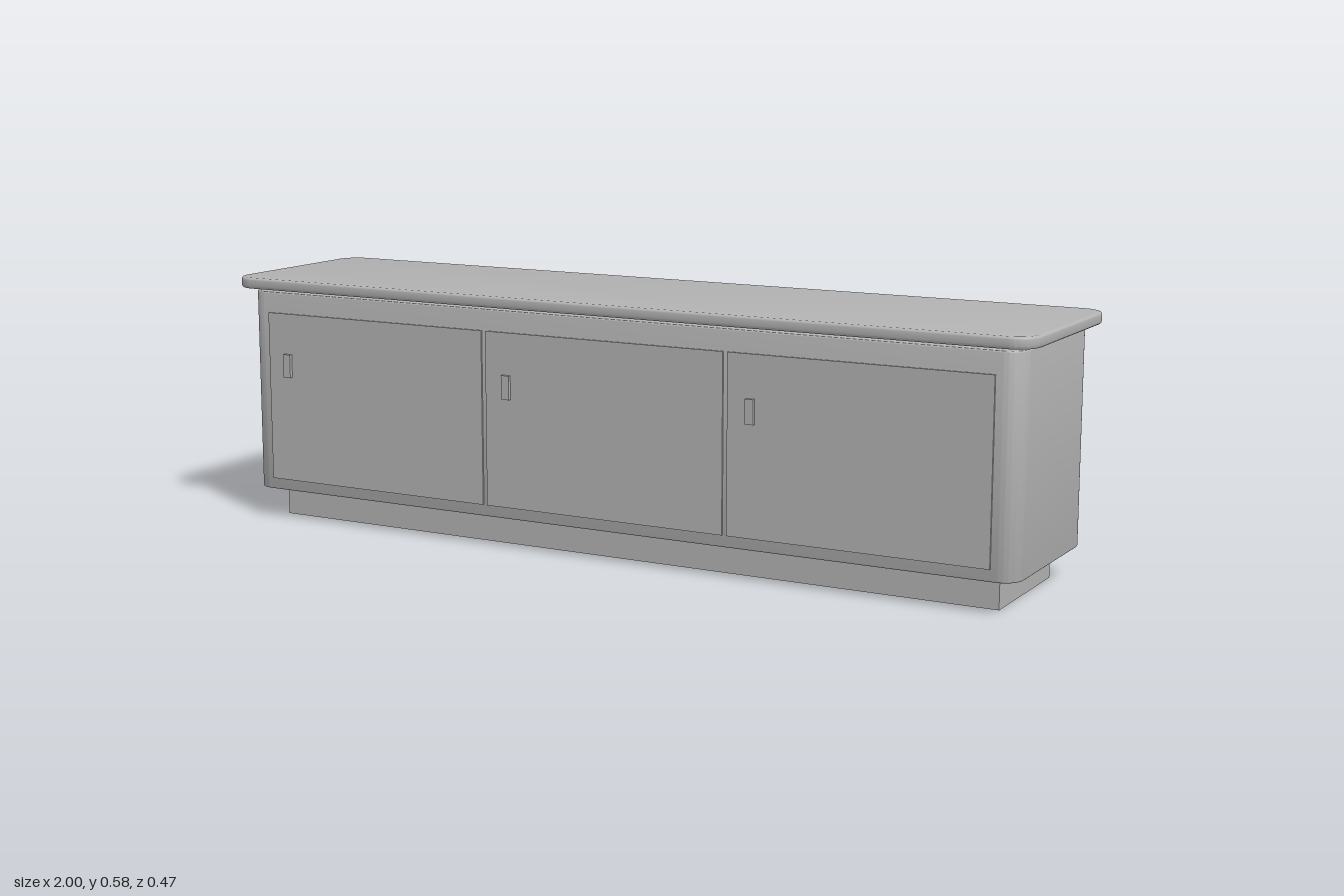
import * as THREE from 'three';
import { toCreasedNormals } from 'three/addons/utils/BufferGeometryUtils.js';

// Slab lying flat with rounded plan corners and slightly softened rims
function roundedSlab(halfX, halfZ, y0, y1, radius, bevel) {
  const x = halfX - bevel, z = halfZ - bevel, r = radius - bevel;
  const plan = new THREE.Shape();
  plan.absarc(x - r, z - r, r, 0, Math.PI / 2);
  plan.absarc(-x + r, z - r, r, Math.PI / 2, Math.PI);
  plan.absarc(-x + r, -z + r, r, Math.PI, Math.PI * 1.5);
  plan.absarc(x - r, -z + r, r, Math.PI * 1.5, Math.PI * 2);
  const geo = new THREE.ExtrudeGeometry(plan, {
    depth: y1 - y0 - 2 * bevel, bevelEnabled: true, bevelSize: bevel,
    bevelThickness: bevel, bevelSegments: 3, curveSegments: 10,
  });
  geo.rotateX(-Math.PI / 2);
  geo.translate(0, y0 + bevel, 0);
  return toCreasedNormals(geo, 0.6);
}

export function createModel() {
  const group = new THREE.Group();
  const grey = new THREE.MeshStandardMaterial({ color: 0xb2b2b2 });
  grey.name = 'grey';

  const add = (name, geo, x = 0, y = 0, z = 0) => {
    const mesh = new THREE.Mesh(geo, grey);
    mesh.name = name;
    mesh.position.set(x, y, z);
    group.add(mesh);
  };

  // Recessed base, cabinet and overhanging top
  add('plinth', new THREE.BoxGeometry(1.83, 0.072, 0.306), 0, 0.036, 0);
  add('cabinetBody', roundedSlab(0.97, 0.208, 0.072, 0.55, 0.045, 0.003));
  add('counterTop', roundedSlab(1, 0.236, 0.558, 0.584, 0.055, 0.006));

  // Three thin doors on the front, each with a small upright pull
  const doorGeo = new THREE.BoxGeometry(0.602, 0.402, 0.006);
  const handleGeo = new THREE.BoxGeometry(0.02, 0.055, 0.009);
  for (let i = -1; i <= 1; i++) {
    add('door', doorGeo, i * 0.613, 0.3, 0.209);
    add('doorHandle', handleGeo, i * 0.613 - 0.245, 0.377, 0.2155);
  }

  // Row of round vertical ribs along the back
  const ribs = 50;
  const ribGeo = new THREE.CylinderGeometry(0.011, 0.011, 0.452, 12);
  for (let i = 0; i < ribs; i++) {
    add('backRib', ribGeo, -0.92 + (1.84 * i) / (ribs - 1), 0.311, -0.208);
  }
  return group;
}
